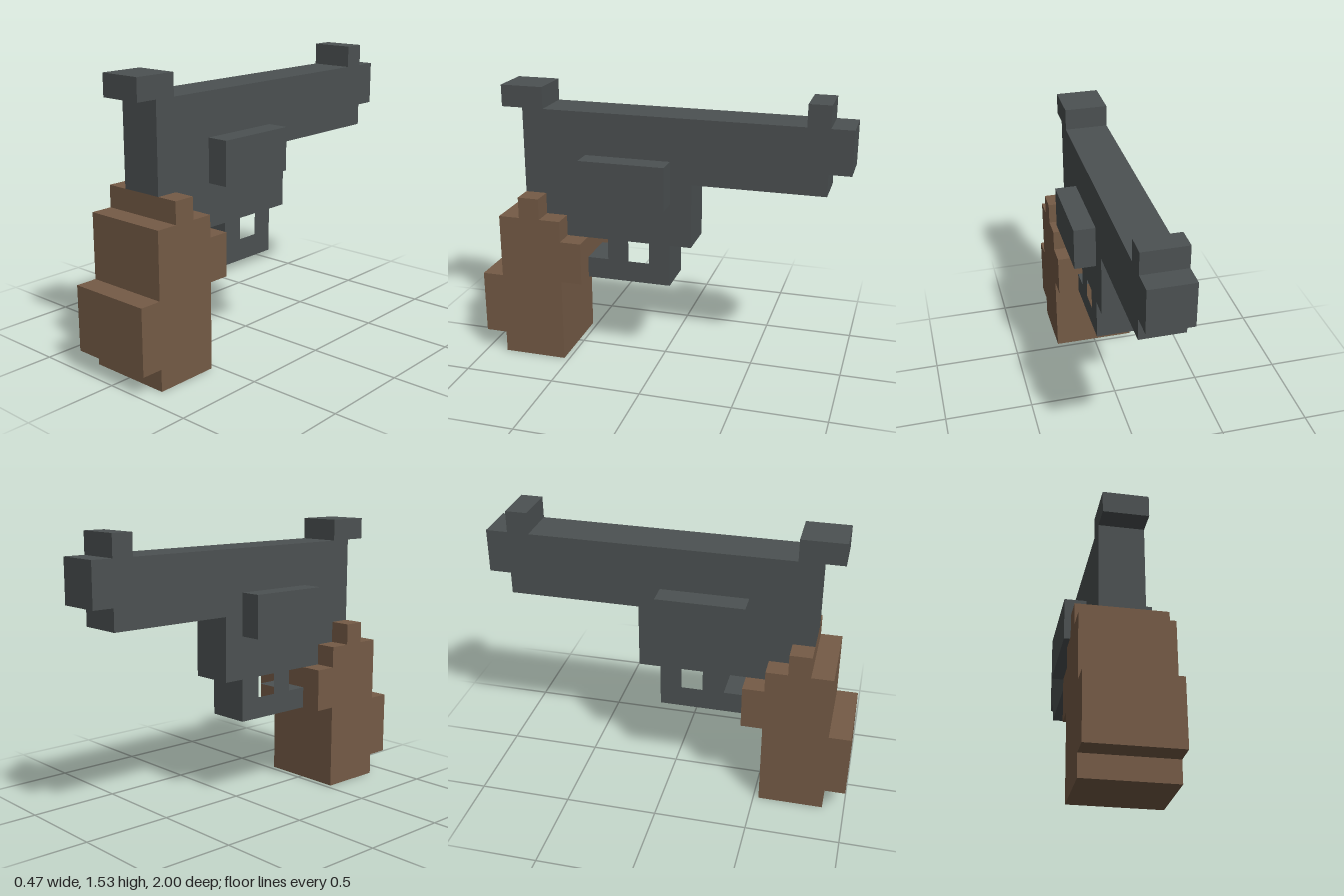
import * as THREE from 'three';

const U = 2 / 17; // one block of the grid

const gunmetal = new THREE.MeshStandardMaterial({ color: 0x4c5152 });
gunmetal.name = 'gunmetal';
const wood = new THREE.MeshStandardMaterial({ color: 0x755b46 });
wood.name = 'wood';

const toPoints = (list) => list.map(([z, y]) => new THREE.Vector2(z * U, y * U));

// Extrudes a blocky side profile, given as [z, y] in blocks, centred on x = 0
function slab(name, profile, width, material, holes = []) {
  const shape = new THREE.Shape(toPoints(profile));
  holes.forEach((hole) => shape.holes.push(new THREE.Path(toPoints(hole))));
  const geometry = new THREE.ExtrudeGeometry(shape, { depth: width * U, bevelEnabled: false });
  geometry.translate(0, 0, -width * U / 2);
  geometry.rotateY(-Math.PI / 2); // profile x becomes z
  const mesh = new THREE.Mesh(geometry, material);
  mesh.name = name;
  return mesh;
}

export function createModel() {
  const model = new THREE.Group();
  model.name = 'blockyRevolver';

  // Frame, barrel, hammer, front sight and trigger guard
  model.add(slab('frameAndBarrel', [
    [7.5, 13], [7.5, 12], [6.5, 12], [6.5, 8], // hammer and back
    [5.5, 8], [5.5, 7], [4.5, 7], [4.5, 6], // steps against the grip
    [2.5, 6], [2.5, 5], [3.5, 5], [3.5, 4], // gap behind the trigger
    [-0.5, 4], [-0.5, 6], [-1.5, 6], [-1.5, 9], // guard and frame front
    [-7.5, 9], [-7.5, 10], [-8.5, 10], [-8.5, 12], // muzzle
    [-7.5, 12], [-7.5, 13], [-6.5, 13], [-6.5, 12], // front sight
    [5.5, 12], [5.5, 13],
  ], 2, gunmetal, [
    [[1.5, 5], [0.5, 5], [0.5, 6], [1.5, 6]], // gap in front of the trigger
  ]));

  // Stepped wooden grip
  model.add(slab('grip', [
    [6.5, 8], [5.5, 8], [5.5, 7], [4.5, 7], [4.5, 6], [3.5, 6], [3.5, 4], [4.5, 4],
    [4.5, 0], [7.5, 0], [7.5, 1], [8.5, 1], [8.5, 4], [7.5, 4], [7.5, 7], [6.5, 7],
  ], 4, wood));

  // Cylinder bulges on both sides
  for (const side of [1, -1]) {
    const bulge = new THREE.Mesh(new THREE.BoxGeometry(U, 2 * U, 4 * U), gunmetal);
    bulge.name = side > 0 ? 'leftCylinder' : 'rightCylinder';
    bulge.position.set(side * 1.5 * U, 9 * U, 1.5 * U);
    model.add(bulge);
  }

  return model;
}
